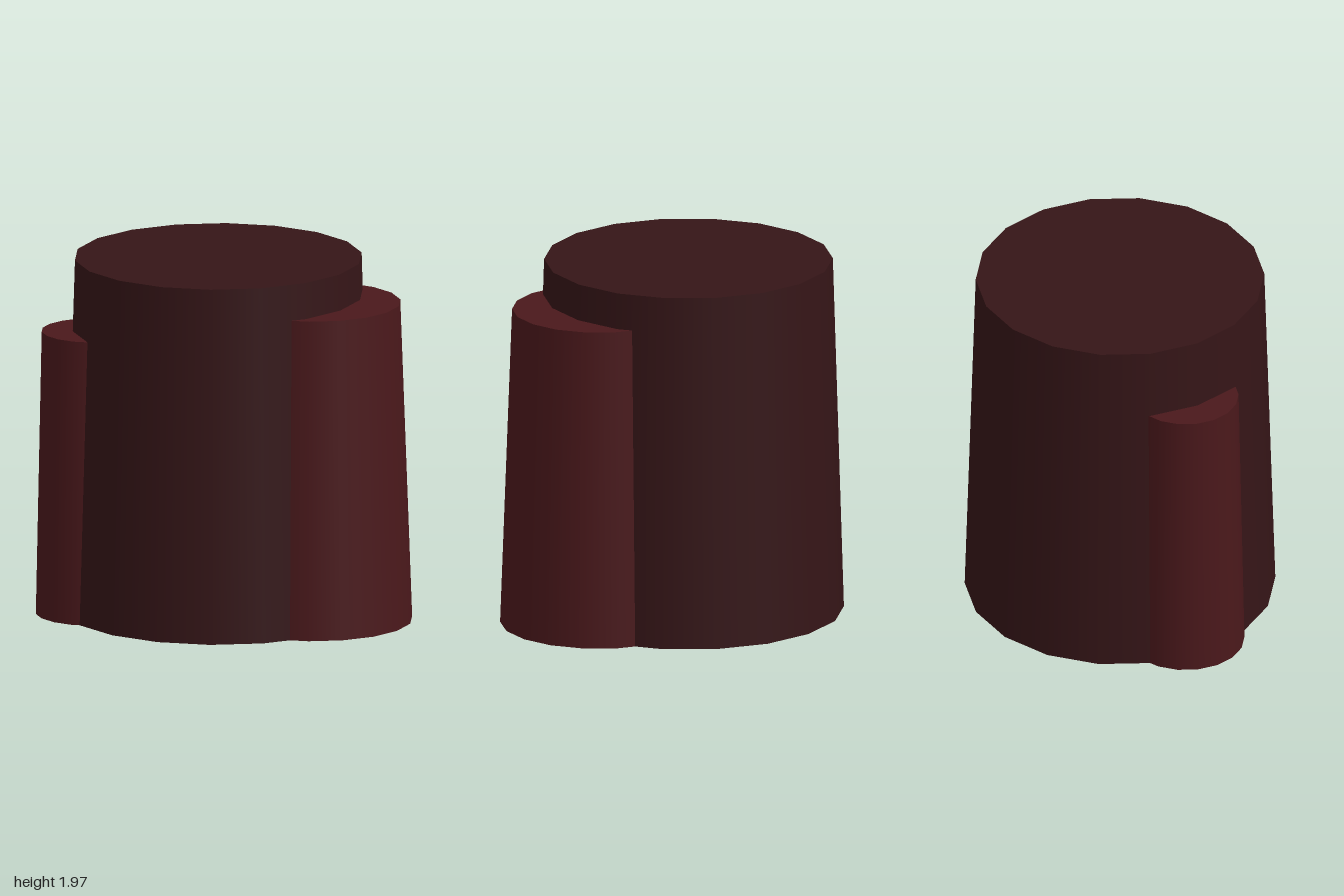
import * as THREE from 'three';

// Tapered column standing on the ground: smooth sides, flat caps
function column(name, color, rTop, rBottom, height, x, z) {
  const mesh = new THREE.Mesh(
    new THREE.CylinderGeometry(rTop, rBottom, height, 18),
    new THREE.MeshStandardMaterial({ color })
  );
  mesh.name = name;
  mesh.position.set(x, height / 2, z);
  return mesh;
}

export function createModel() {
  const group = new THREE.Group();
  group.name = 'columnCluster';
  const dark = 0x351517, red = 0x4a181b;

  // Tall central column with two shorter ones merging into its sides
  group.add(column('mainColumn', dark, 0.785, 0.845, 1.97, -0.095, 0));
  group.add(column('leftColumn', red, 0.473, 0.538, 1.77, 0.47, 0));
  group.add(column('rightColumn', red, 0.288, 0.32, 1.575, -0.685, 0.335));
  return group;
}
